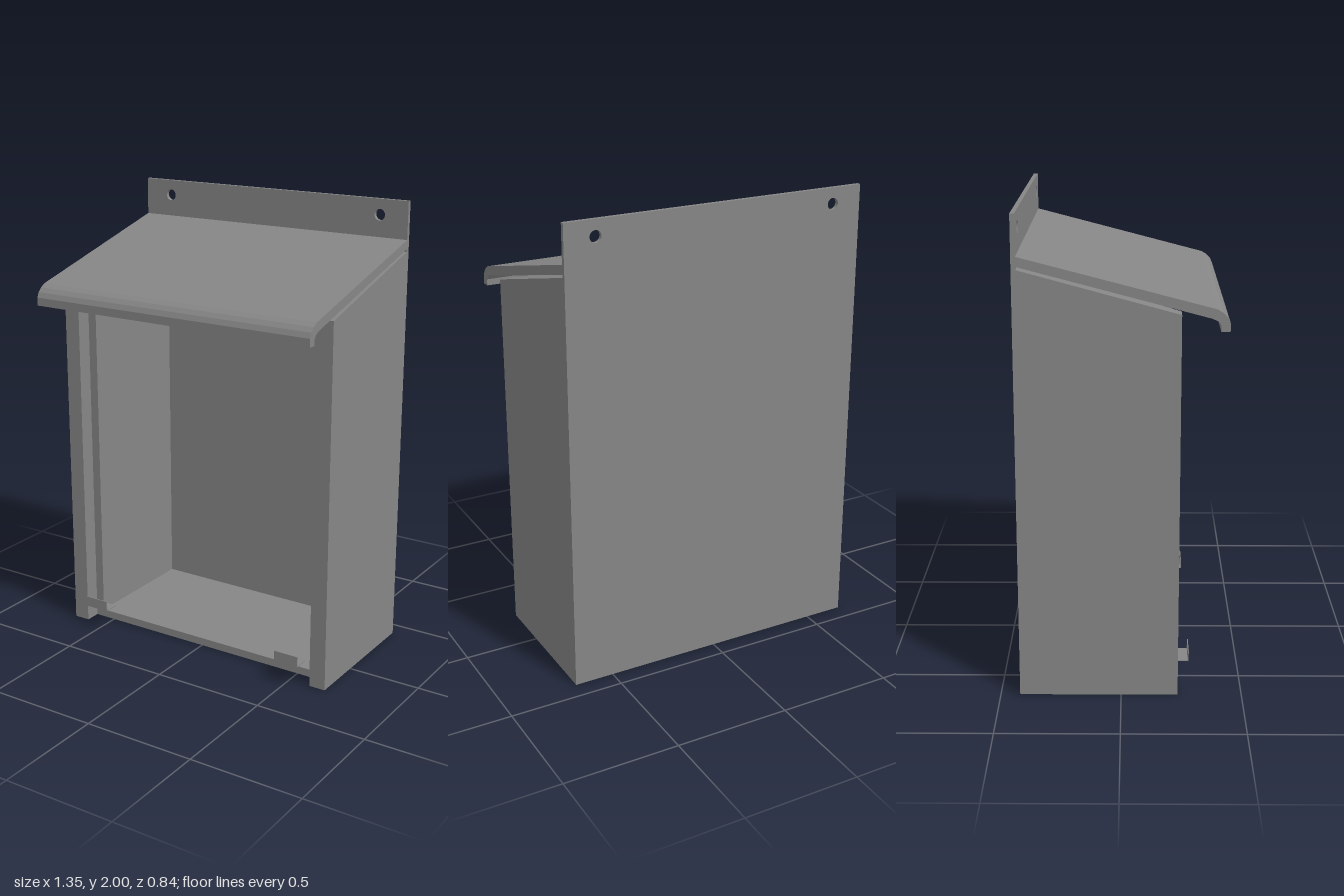
import * as THREE from 'three';

export function createModel() {
  const root = new THREE.Group();
  root.name = 'hangingBox';
  const grey = new THREE.MeshStandardMaterial({ color: 0x868686 });
  grey.name = 'grey';
  const sheetGrey = grey; // the single colour used throughout

  const W = 0.673; // half width
  const BACK = -0.42, BACK_FRONT = -0.402, RECESS = 0.165, FRONT = 0.235;

  function add(name, geometry) {
    const mesh = new THREE.Mesh(geometry, sheetGrey);
    mesh.name = name;
    root.add(mesh);
    return mesh;
  }

  // Extrudes a (z, y) side profile across x0..x1
  function sideProfile(points, x0, x1) {
    const shape = new THREE.Shape(points.map(([z, y]) => new THREE.Vector2(z, y)));
    return new THREE.ExtrudeGeometry(shape, { depth: x1 - x0, bevelEnabled: false })
      .rotateY(-Math.PI / 2)
      .translate(x1, 0, 0);
  }

  function box(name, x0, x1, y0, y1, z0, z1) {
    const g = new THREE.BoxGeometry(x1 - x0, y1 - y0, z1 - z0);
    return add(name, g.translate((x0 + x1) / 2, (y0 + y1) / 2, (z0 + z1) / 2));
  }

  // Back panel with two mounting holes near its top edge
  const back = new THREE.Shape();
  back.moveTo(-W, 0).lineTo(W, 0).lineTo(W, 2).lineTo(-W, 2).closePath();
  for (const x of [-0.54, 0.54]) {
    const hole = new THREE.Path();
    hole.absarc(x, 1.932, 0.025, 0, Math.PI * 2, true);
    back.holes.push(hole);
  }
  add('backPanel', new THREE.ExtrudeGeometry(back, {
    depth: BACK_FRONT - BACK, bevelEnabled: false, curveSegments: 16,
  }).translate(0, 0, BACK));

  // Side walls: outer panel forms the front post, inner panel stops at the door recess
  const wallTop = (z) => 1.785 - (z - BACK_FRONT) * 0.272;
  const wall = (front, x0, x1) => sideProfile([
    [BACK_FRONT, 0], [front, 0], [front, wallTop(front)], [BACK_FRONT, wallTop(BACK_FRONT)],
  ], x0, x1);
  add('leftOuterWall', wall(FRONT, 0.6, W));
  add('leftInnerWall', wall(RECESS, 0.56, 0.6));
  add('rightOuterWall', wall(FRONT, -W, -0.6));
  add('rightInnerWall', wall(RECESS, -0.6, -0.56));

  // Floor
  box('floor', -0.56, 0.56, 0, 0.035, BACK_FRONT, RECESS);

  // Sloping roof with a rolled drip lip, leaving a thin gap above the walls
  add('roof', sideProfile([
    [BACK_FRONT, 1.797], [0.35, 1.598], [0.375, 1.587], [0.386, 1.572], [0.386, 1.545],
    [0.422, 1.545], [0.422, 1.58], [0.412, 1.602], [0.395, 1.62], [0.372, 1.634],
    [BACK_FRONT, 1.836],
  ], -W, W));

  // Small L-shaped hooks at the bottom of the opening
  for (const [side, s] of [['left', 1], ['right', -1]]) {
    const x0 = Math.min(s * 0.45, s * 0.565), x1 = Math.max(s * 0.45, s * 0.565);
    box(side + 'HookBase', x0, x1, 0.1, 0.104, 0.215, 0.284);
    box(side + 'HookLip', x0, x1, 0.104, 0.147, 0.28, 0.284);
  }

  return root;
}
